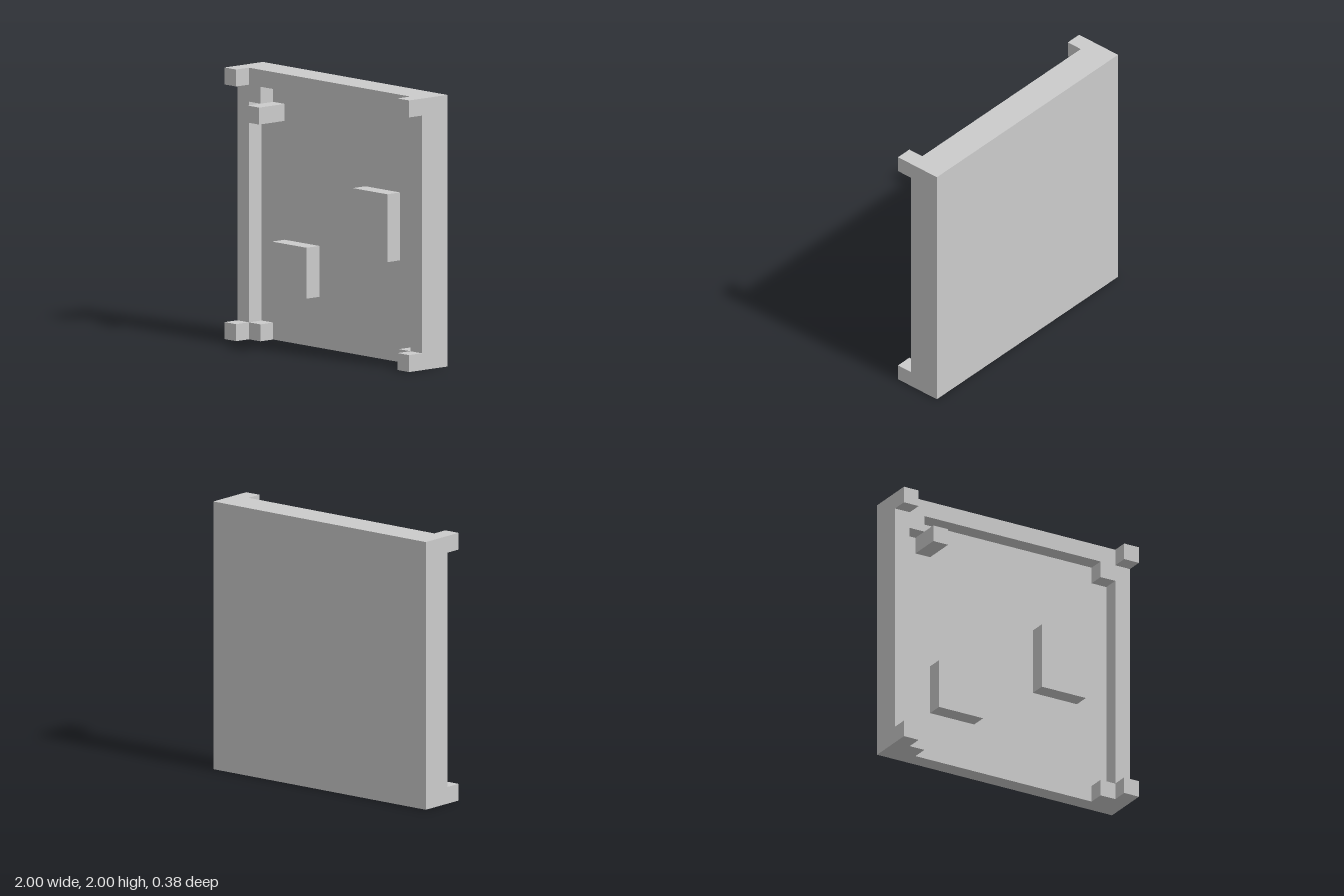
import * as THREE from 'three';

const U = 0.125; // grid cell: the panel is 16 x 16 x 3 cells
const BACK = -1.5 * U;

export function createModel() {
  const model = new THREE.Group();
  const material = new THREE.MeshStandardMaterial({ color: 0xcccccc, flatShading: true });

  const add = (name, geometry) => {
    const mesh = new THREE.Mesh(geometry, material);
    mesh.name = name;
    model.add(mesh);
    return mesh;
  };

  // Box given by its low corner and size in cells (x from centre, y from ground, z from back)
  const box = (name, x, y, z, w, h, d) =>
    add(name, new THREE.BoxGeometry(w * U, h * U, d * U))
      .position.set((x + w / 2) * U, (y + h / 2) * U, BACK + (z + d / 2) * U);

  // Flat back panel
  box('backPanel', -8, 0, 0, 16, 16, 1);

  // Raised rim: open at the bottom, with stepped inner corners
  const half = [[6, 0], [6, 1], [7, 1], [7, 14], [6, 14], [6, 15]];
  const inner = [...half, ...half.map(([x, y]) => [-x, y]).reverse()];
  const outline = [...inner, [-8, 0], [-8, 16], [8, 16], [8, 0]];
  const rimShape = new THREE.Shape(outline.map(([x, y]) => new THREE.Vector2(x * U, y * U)));
  const rim = add('rim', new THREE.ExtrudeGeometry(rimShape, { depth: U, bevelEnabled: false }));
  rim.position.z = BACK + U;

  // Corner posts standing forward of the rim
  for (const [side, x] of [['left', 7], ['right', -8]]) {
    box(`${side}BottomCornerPost`, x, 0, 2, 1, 1, 1);
    box(`${side}TopCornerPost`, x, 15, 2, 1, 1, 1);
  }

  // Long peg and two raised blocks on the panel
  box('peg', -6, 13, 1, 1, 1, 2);
  box('tallBlock', 2, 6, 1, 3, 4, 1);
  box('squareBlock', -5, 3, 1, 3, 3, 1);

  return model;
}
